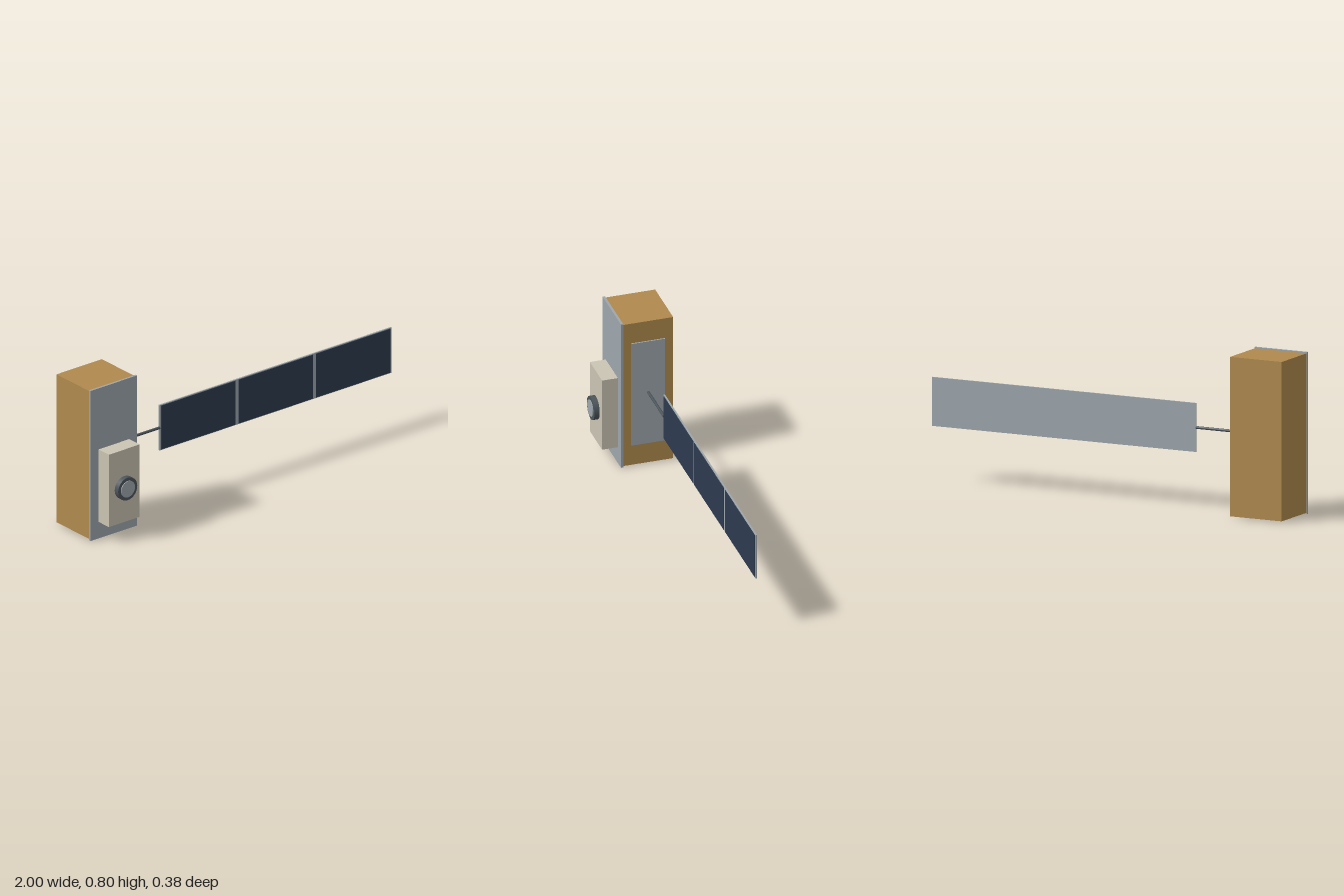
import * as THREE from 'three';

const material = (name, color) => {
  const m = new THREE.MeshStandardMaterial({ color });
  m.name = name;
  return m;
};

export function createModel() {
  const model = new THREE.Group();
  model.name = 'satellite';
  const foil = material('gold foil', 0xb08a4e);
  const grey = material('silver grey', 0x9ea7ad);
  const cream = material('cream', 0xcbc4b3);
  const dark = material('dark metal', 0x4c555b);
  const navy = material('solar navy', 0x2d3b4f);

  const add = (name, geometry, mat) => {
    const mesh = new THREE.Mesh(geometry, mat);
    mesh.name = name;
    model.add(mesh);
    return mesh;
  };
  // Box given by its lower and upper corners
  const box = (name, [x0, y0, z0], [x1, y1, z1], mat) =>
    add(name, new THREE.BoxGeometry(x1 - x0, y1 - y0, z1 - z0), mat)
      .position.set((x0 + x1) / 2, (y0 + y1) / 2, (z0 + z1) / 2);
  // Cylinder lying along z
  const disc = (name, radius, z0, z1, mat) =>
    add(name, new THREE.CylinderGeometry(radius, radius, z1 - z0, 32).rotateX(Math.PI / 2), mat)
      .position.set(-0.855, 0.275, (z0 + z1) / 2);

  // Main body with front plate and side radiator
  box('body', [-0.997, 0.006, -0.19], [-0.712, 0.796, 0.066], foil);
  box('frontPlate', [-1, 0, 0.066], [-0.709, 0.802, 0.078], grey);
  box('sideRadiator', [-0.712, 0.117, -0.147], [-0.705, 0.686, 0.027], grey);

  // Instrument box and its lens
  box('instrumentBox', [-0.951, 0.089, 0.078], [-0.758, 0.476, 0.159], cream);
  disc('lensBarrel', 0.06, 0.159, 0.186, dark);
  disc('lensGlass', 0.043, 0.186, 0.19, grey);

  // Boom carrying the solar wing
  add('boom', new THREE.CylinderGeometry(0.007, 0.007, 0.25, 16).rotateZ(Math.PI / 2), dark)
    .position.set(-0.58, 0.402, -0.06);

  // Solar wing with three cell panels on its front
  const left = -0.457, pitch = (1 - left) / 3;
  box('wingPanel', [left, 0.281, -0.065], [1, 0.523, -0.057], grey);
  for (let i = 0; i < 3; i++) {
    const x = left + i * pitch;
    box(`solarCell${i + 1}`, [x + 0.01, 0.285, -0.057], [x + pitch - 0.01, 0.519, -0.0545], navy);
  }
  return model;
}
